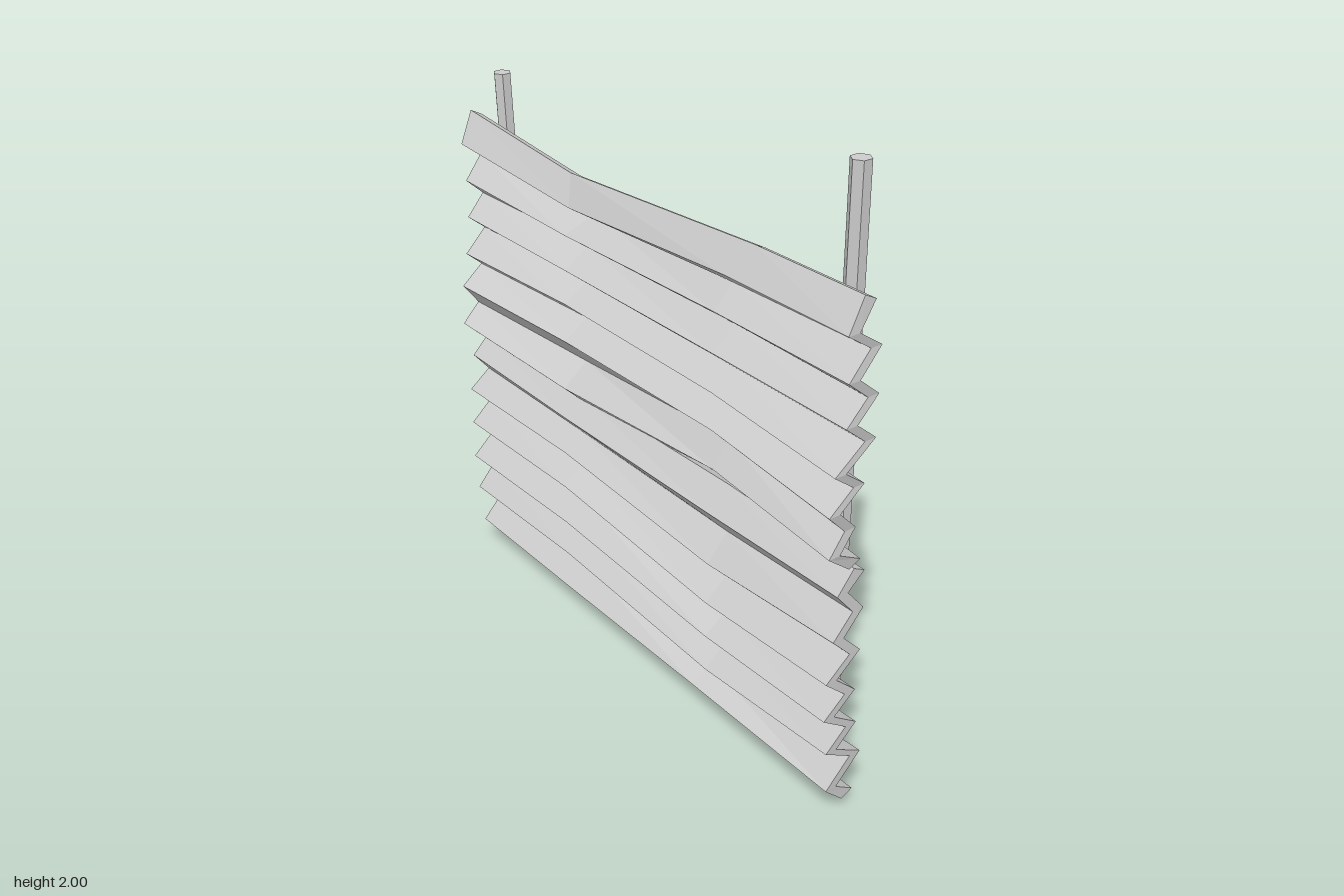
import * as THREE from 'three';

const material = new THREE.MeshStandardMaterial({ color: 0xcccccc, flatShading: true, side: THREE.DoubleSide });
const DEPTH = 0.04; // sheet thickness measured along z

// Corrugated sheet: zigzag cross-sections (fold heights y and depths z, top to bottom)
// placed at several stations along x and joined into a closed solid.
function corrugatedSheet(name, sections) {
  const rows = sections[0].y.length;
  const loop = rows * 2;
  const positions = [];
  const index = [];
  for (const { x, y, z } of sections) {
    for (let i = 0; i < rows; i++) positions.push(x(i), y[i], z[i]);
    for (let i = rows - 1; i >= 0; i--) {
      // free edges are cut square to the sheet
      const lift = i === 0 ? -0.02 : i === rows - 1 ? 0.02 : 0;
      positions.push(x(i), y[i] + lift, z[i] - DEPTH);
    }
  }
  for (let c = 0; c < sections.length - 1; c++) {
    for (let i = 0; i < loop; i++) {
      const a = c * loop + i;
      const b = c * loop + (i + 1) % loop;
      index.push(a, b, b + loop, a, b + loop, a + loop);
    }
  }
  // zigzag ends
  const last = (sections.length - 1) * loop;
  for (let i = 0; i < rows - 1; i++) {
    const [a, b, d, e] = [i, i + 1, loop - 2 - i, loop - 1 - i];
    index.push(a, d, b, a, e, d);
    index.push(last + a, last + b, last + d, last + a, last + d, last + e);
  }
  const geometry = new THREE.BufferGeometry();
  geometry.setAttribute('position', new THREE.Float32BufferAttribute(positions, 3));
  geometry.setIndex(index);
  const flat = geometry.toNonIndexed();
  flat.computeVertexNormals();
  const mesh = new THREE.Mesh(flat, material);
  mesh.name = name;
  return mesh;
}

// Leaning six-sided post with level ends
function post(name, bottom, top) {
  const height = top[1] - bottom[1];
  const geometry = new THREE.CylinderGeometry(0.03, 0.03, height, 6);
  const p = geometry.attributes.position;
  for (let i = 0; i < p.count; i++) {
    const t = p.getY(i) / height + 0.5;
    p.setXYZ(i,
      p.getX(i) + THREE.MathUtils.lerp(bottom[0], top[0], t),
      bottom[1] + t * height,
      p.getZ(i) + THREE.MathUtils.lerp(bottom[2], top[2], t));
  }
  geometry.computeVertexNormals();
  const mesh = new THREE.Mesh(geometry, material);
  mesh.name = name;
  return mesh;
}

export function createModel() {
  const group = new THREE.Group();
  group.name = 'corrugatedFence';
  const bulge = (i) => Math.sin((i / 12) * Math.PI);

  // Upper sheet, stations from right end (-x) to left end (+x)
  group.add(corrugatedSheet('upperSheet', [
    {
      x: (i) => (i % 2 ? -0.905 : -0.927),
      y: [1.69, 1.59, 1.535, 1.46, 1.395, 1.33, 1.27, 1.2, 1.14, 1.085, 1.0, 0.945, 0.865],
      z: [0.03, 0.085, 0, 0.075, 0, 0.075, 0, 0.09, 0.02, 0.11, 0.04, 0.115, 0.03],
    },
    {
      x: (i) => (i === 1 || i === 2 ? -0.32 : -0.37),
      y: [1.63, 1.54, 1.5, 1.43, 1.375, 1.31, 1.255, 1.195, 1.125, 1.065, 0.97, 0.895, 0.81],
      z: [0.015, 0.06, -0.045, 0.045, -0.045, 0.045, -0.04, 0.05, -0.035, 0.055, -0.03, 0.06, -0.03],
    },
    {
      x: (i) => (i === 0 ? 0.52 : i === 1 ? 0.46 : 0.4),
      y: [1.69, 1.595, 1.53, 1.46, 1.4, 1.33, 1.265, 1.205, 1.14, 1.085, 1.035, 0.95, 0.885],
      z: [0.03, 0.085, 0, 0.07, -0.01, 0.07, -0.01, 0.07, -0.01, 0.07, 0, 0.06, -0.02],
    },
    {
      x: (i) => 0.943 + 0.005 * bulge(i) + (i % 2 ? 0.01 : 0),
      y: [1.695, 1.6, 1.54, 1.465, 1.4, 1.335, 1.27, 1.2, 1.14, 1.08, 1.01, 0.945, 0.875],
      z: [0.03, 0.09, 0, 0.08, 0, 0.08, 0, 0.11, 0.03, 0.12, 0.05, 0.11, 0.02],
    },
  ]));

  // Lower sheet
  group.add(corrugatedSheet('lowerSheet', [
    {
      x: (i) => -0.943 - 0.008 * bulge(i) - (i === 3 ? 0.012 : 0),
      y: [0.86, 0.79, 0.72, 0.65, 0.59, 0.52, 0.45, 0.38, 0.32, 0.245, 0.175, 0.1, 0.03],
      z: [-0.005, 0.06, 0, 0.07, 0, 0.075, 0, 0.075, 0, 0.065, -0.02, 0.05, -0.01],
    },
    {
      x: () => -0.38,
      y: [0.855, 0.78, 0.71, 0.645, 0.58, 0.515, 0.45, 0.375, 0.32, 0.245, 0.175, 0.1, 0.033],
      z: [-0.01, 0.055, -0.01, 0.055, -0.015, 0.06, -0.015, 0.06, -0.015, 0.055, -0.025, 0.05, -0.01],
    },
    {
      x: (i) => (i > 9 ? 0.31 : 0.38),
      y: [0.87, 0.785, 0.695, 0.605, 0.535, 0.465, 0.4, 0.34, 0.28, 0.21, 0.15, 0.105, 0.04],
      z: [-0.01, 0.055, -0.02, 0.055, -0.02, 0.06, -0.02, 0.06, -0.02, 0.055, -0.03, 0.05, -0.01],
    },
    {
      x: (i) => 0.942 + 0.012 * bulge(i),
      y: [0.87, 0.8, 0.73, 0.655, 0.59, 0.52, 0.455, 0.39, 0.33, 0.26, 0.205, 0.11, 0.045],
      z: [0, 0.06, 0, 0.07, 0.005, 0.09, 0.015, 0.09, 0, 0.07, -0.03, 0.055, -0.015],
    },
  ]));

  // Posts behind the sheets
  group.add(post('leftPost', [0.787, 0, -0.098], [0.815, 2, -0.052]));
  group.add(post('rightPost', [-0.805, 0.06, -0.098], [-0.855, 1.82, -0.053]));
  return group;
}
